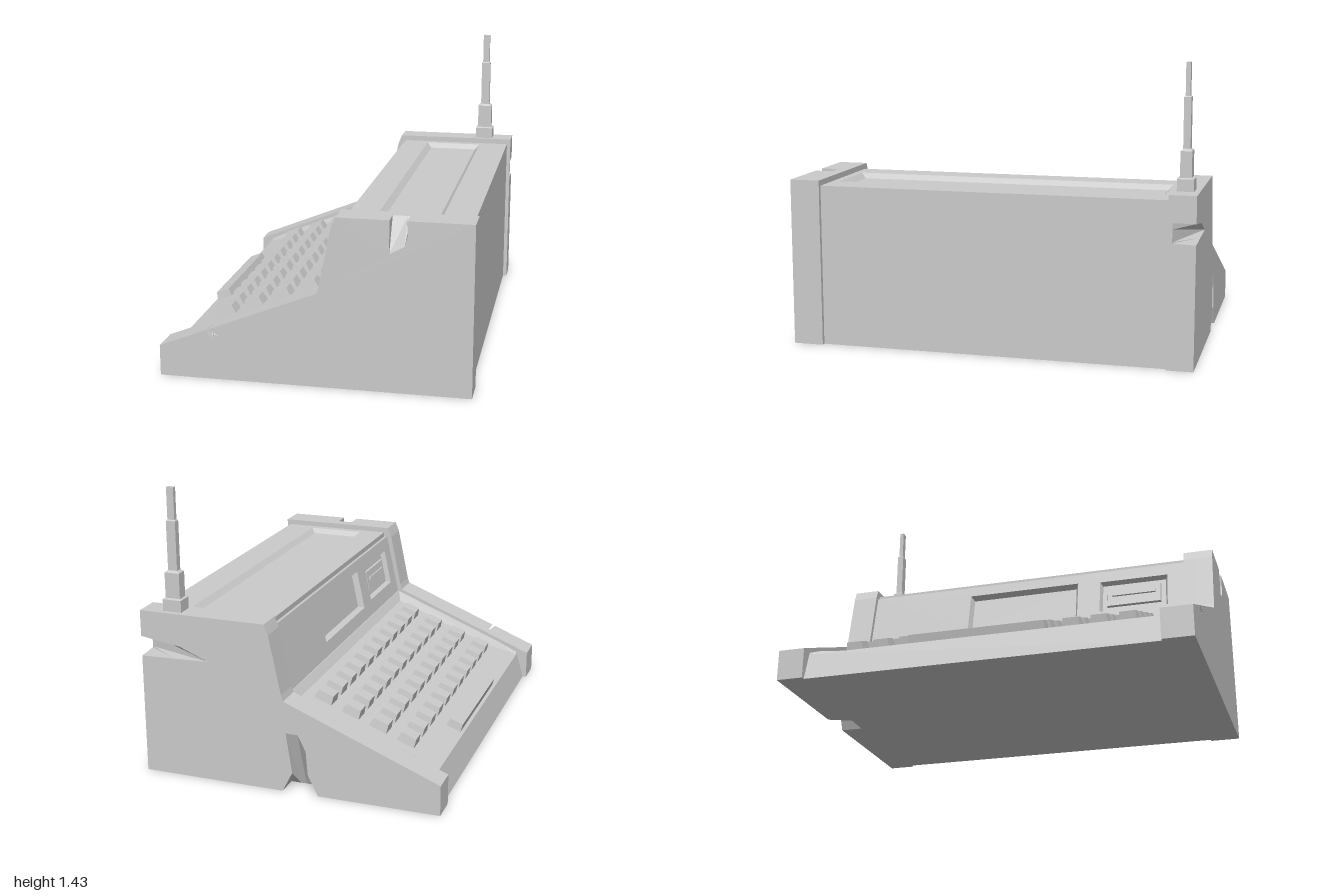
import * as THREE from 'three';

const material = new THREE.MeshStandardMaterial({ color: 0xcccccc, flatShading: true });

// Joins equal-length anticlockwise rings ({ z, pts }) into a faceted, capped solid.
function loft(rings) {
  const pos = [];
  const put = (ring, i) => pos.push(ring.pts[i][0], ring.pts[i][1], ring.z);
  const n = rings[0].pts.length;
  for (let k = 0; k + 1 < rings.length; k++) {
    const a = rings[k], b = rings[k + 1];
    for (let i = 0; i < n; i++) {
      const j = (i + 1) % n;
      put(a, i); put(a, j); put(b, j);
      put(a, i); put(b, j); put(b, i);
    }
  }
  const cap = (ring, flip) => {
    const contour = ring.pts.map(([x, y]) => new THREE.Vector2(x, y));
    for (const [i, j, k] of THREE.ShapeUtils.triangulateShape(contour, [])) {
      put(ring, i); put(ring, flip ? k : j); put(ring, flip ? j : k);
    }
  };
  cap(rings[0], true);
  cap(rings[rings.length - 1], false);
  const g = new THREE.BufferGeometry();
  g.setAttribute('position', new THREE.Float32BufferAttribute(pos, 3));
  g.computeVertexNormals();
  return g;
}

const rect = (x0, x1, y0, y1) => [[x0, y0], [x1, y0], [x1, y1], [x0, y1]];
const centred = (w, h) => rect(-w / 2, w / 2, -h / 2, h / 2);

function add(parent, name, geometry) {
  const mesh = new THREE.Mesh(geometry, material);
  mesh.name = name;
  parent.add(mesh);
  return mesh;
}

// Plate whose front has a rectangular recess with sloping walls.
function recessedPlate([x0, x1, y0, y1], [a, b, c, d], inset, depth) {
  return loft([
    { z: -depth - 0.005, pts: rect(x0, x1, y0, y1) },
    { z: 0, pts: rect(x0, x1, y0, y1) },
    { z: 0, pts: rect(a, b, c, d) },
    { z: -depth, pts: rect(a + inset, b - inset, c + inset, d - inset) },
  ]);
}

// Block with a smaller top.
function taperedBlock(w, h, tall, taper) {
  return loft([
    { z: -0.005, pts: centred(w, h) },
    { z: tall, pts: centred(w - taper, h - taper) },
  ]);
}

// Group whose x runs along the model's z, y runs up a slope and z leaves its surface.
function slopeGroup(parent, name, from, to) {
  const up = new THREE.Vector3(to[0] - from[0], to[1] - from[1], 0).normalize();
  const along = new THREE.Vector3(0, 0, 1);
  const out = along.clone().cross(up);
  const group = new THREE.Group();
  group.name = name;
  group.quaternion.setFromRotationMatrix(new THREE.Matrix4().makeBasis(along, up, out));
  group.position.set(from[0], from[1], 0);
  parent.add(group);
  return group;
}

const END_PROFILE = [[-0.75, 0], [0.75, 0], [0.75, 0.83], [0.11, 0.83],
  [0.09, 0.78], [0.03, 0.49], [0.02, 0.46], [-0.75, 0.15]];

// End outline; chips maps an edge to notch points, flattened onto the edge when sound.
function endOutline(chips, sound) {
  const pts = [];
  END_PROFILE.forEach((p, i) => {
    pts.push(p);
    const q = END_PROFILE[(i + 1) % END_PROFILE.length];
    const dx = q[0] - p[0], dy = q[1] - p[1];
    for (const c of chips[i] || []) {
      const t = ((c[0] - p[0]) * dx + (c[1] - p[1]) * dy) / (dx * dx + dy * dy);
      pts.push(sound ? [p[0] + t * dx, p[1] + t * dy] : c);
    }
  });
  return pts;
}

export function createModel() {
  const model = new THREE.Group();
  model.name = 'computerTerminal';

  // Main case between the end panels
  const caseProfile = [[-0.73, 0], [0.73, 0], [0.73, 0.775], [0.15, 0.775],
    [0.08, 0.45], [0.04, 0.45], [0.01, 0.41], [-0.69, 0.14]];
  add(model, 'case', loft([{ z: -0.88, pts: caseProfile }, { z: 0.86, pts: caseProfile }]));

  // End panels with chipped outer edges
  const frontChips = {
    2: [[0.44, 0.83], [0.445, 0.76], [0.43, 0.71], [0.36, 0.67], [0.36, 0.83]],
    6: [[-0.505, 0.2486], [-0.458, 0.22], [-0.478, 0.222], [-0.49, 0.2], [-0.52, 0.2426]],
  };
  const backChips = {
    0: [[-0.15, 0], [-0.1, 0.1], [-0.09, 0.22], [-0.05, 0.3], [0.01, 0.3], [-0.02, 0.1], [0.03, 0]],
    1: [[0.75, 0.6], [0.58, 0.605], [0.4, 0.61], [0.55, 0.67], [0.75, 0.7]],
  };
  add(model, 'leftEndPanel', loft([
    { z: 0.85, pts: endOutline(frontChips, true) },
    { z: 0.91, pts: endOutline(frontChips, true) },
    { z: 1, pts: endOutline(frontChips, false) },
  ]));
  add(model, 'rightEndPanel', loft([
    { z: -1, pts: endOutline(backChips, false) },
    { z: -0.89, pts: endOutline(backChips, true) },
    { z: -0.87, pts: endOutline(backChips, true) },
  ]));

  // Top cover with long sunken panel
  const cover = add(model, 'topCover',
    recessedPlate([0.135, 0.73, -0.85, 0.87], [0.27, 0.575, -0.81, 0.83], 0.025, 0.025));
  cover.rotation.x = -Math.PI / 2;
  cover.position.y = 0.802;

  // Upright face with display and drive bay
  const face = slopeGroup(model, 'uprightFace', [0.045, 0.45], [0.115, 0.78]);
  add(face, 'display', recessedPlate([-0.87, 0.335, 0, 0.337], [-0.32, 0.28, 0.07, 0.28], 0.015, 0.03));
  add(face, 'driveBay', recessedPlate([0.335, 0.85, 0, 0.337], [0.4, 0.76, 0.08, 0.27], 0.012, 0.025));
  add(face, 'driveFront', taperedBlock(0.29, 0.12, 0.012, 0.01)).position.set(0.58, 0.175, -0.025);
  add(face, 'driveSlot', taperedBlock(0.23, 0.02, 0.008, 0.004)).position.set(0.58, 0.185, -0.013);

  // Sloping sides of the keyboard tray
  const leftSide = (w, y, top) => [[-0.855, y], [-0.85 + w, y], [-0.855, top]];
  const rightSide = (w, y, top) => [[0.875, y], [0.875, top], [0.87 - w, y]];
  for (const [name, side] of [['leftTraySide', leftSide], ['rightTraySide', rightSide]]) {
    add(model, name, loft([
      { z: -0.69, pts: side(0.03, 0.135, 0.15) },
      { z: -0.57, pts: side(0.08, 0.182, 0.205) },
      { z: 0.04, pts: side(0.08, 0.415, 0.45) },
    ])).rotation.y = Math.PI / 2;
  }

  // Keys and space bar on the sloping tray
  const keyboard = slopeGroup(model, 'keyboard', [-0.69, 0.14], [0.01, 0.41]);
  const upSlope = (x) => (x + 0.69) / Math.cos(Math.atan2(0.27, 0.7));
  const keyShape = taperedBlock(0.09, 0.095, 0.045, 0.016);
  for (let row = 0; row < 4; row++) {
    for (let col = 0; col < 11; col++) {
      add(keyboard, 'key', keyShape).position.set(-0.7 + col * 0.1365, upSlope(-0.5 + row * 0.14), 0);
    }
  }
  add(keyboard, 'spaceBar', taperedBlock(0.675, 0.08, 0.04, 0.01)).position.set(-0.035, upSlope(-0.638), 0);

  // Telescopic square antenna
  const antenna = add(model, 'antenna', loft([
    [0, 0.095, 0.08], [0.06, 0.095, 0.08], [0.065, 0.075, 0.055], [0.19, 0.075, 0.055],
    [0.2, 0.047, 0.034], [0.44, 0.047, 0.034], [0.445, 0.036, 0.022], [0.6, 0.036, 0.022],
  ].map(([z, w, d]) => ({ z, pts: centred(w, d) }))));
  antenna.rotation.x = -Math.PI / 2;
  antenna.position.set(0.593, 0.828, -0.932);

  return model;
}
